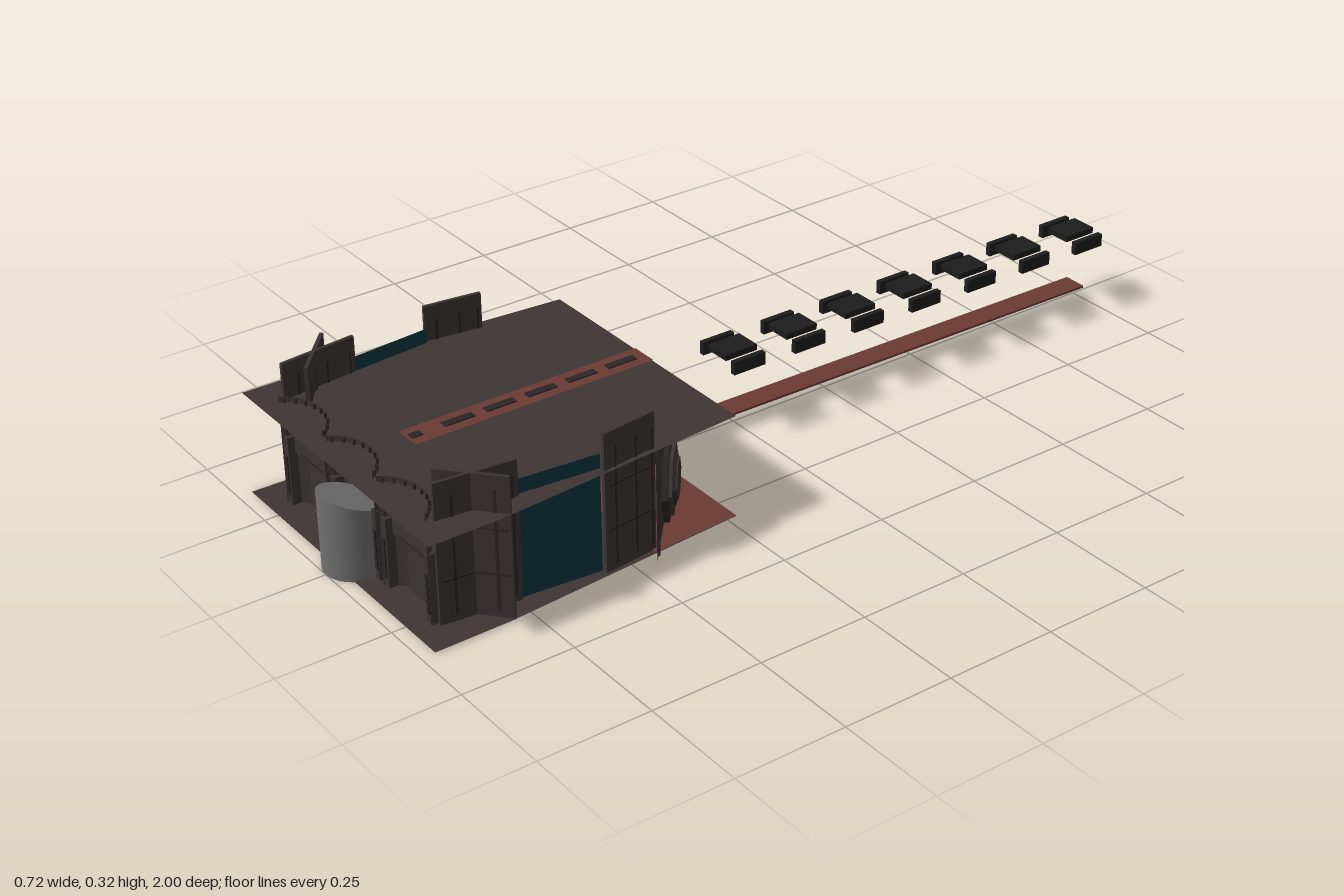
import * as THREE from 'three';

const mat = (name, color, side = THREE.FrontSide) => {
  const m = new THREE.MeshStandardMaterial({ color, side });
  m.name = name;
  return m;
};

export function createModel() {
  const model = new THREE.Group();
  const stone = mat('dark stone', 0x3d3635, THREE.DoubleSide);
  const wallStone = mat('wall stone', 0x3b3432);
  const trim = mat('dark trim', 0x2a2624);
  const red = mat('rust red', 0x6b3a33, THREE.DoubleSide);
  const teal = mat('deep teal', 0x0f3640, THREE.DoubleSide);
  const grey = mat('column grey', 0x707070);
  const black = mat('black', 0x1e1d1d);

  const add = (name, geo, material, parent = model, x = 0, y = 0, z = 0) => {
    const mesh = new THREE.Mesh(geo, material);
    mesh.name = name;
    mesh.position.set(x, y, z);
    parent.add(mesh);
    return mesh;
  };
  const box = (name, w, h, d, material, x, y, z, parent) =>
    add(name, new THREE.BoxGeometry(w, h, d), material, parent, x, y, z);

  // Flat sheet from x,z corners
  const sheet = (name, pts, y, material) => {
    const geo = new THREE.ShapeGeometry(new THREE.Shape(pts.map(([x, z]) => new THREE.Vector2(x, -z))));
    geo.rotateX(-Math.PI / 2);
    return add(name, geo, material, model, 0, y, 0);
  };
  // Upright group between two plan points; local +z is the outer face
  const upright = (name, [x1, z1], [x2, z2]) => {
    const g = new THREE.Group();
    g.name = name;
    g.position.set((x1 + x2) / 2, 0, (z1 + z2) / 2);
    g.rotation.y = Math.atan2(z1 - z2, x2 - x1);
    g.userData.width = Math.hypot(x2 - x1, z2 - z1);
    model.add(g);
    return g;
  };

  // Floor and roof
  const plan = [[-0.36, 0.97], [0.36, 0.97], [0.358, 0.8], [0.315, 0.23], [-0.315, 0.23], [-0.358, 0.8]];
  sheet('floor', plan, 0.003, stone);
  sheet('floorUnderside', [[-0.24, 0.84], [0.24, 0.84], [0.24, 0.23], [-0.24, 0.23]], 0, red);
  sheet('rearFloor', [[-0.33, 0.44], [0.33, 0.44], [0.315, 0.23], [-0.315, 0.23]], 0.005, red);
  sheet('threshold', [[-0.055, 0.23], [0.055, 0.23], [0.055, 0.185], [-0.055, 0.185]], 0.004, red);
  sheet('roof', plan, 0.237, stone);
  sheet('roofStripe', [[-0.032, 0.8], [0.032, 0.8], [0.032, 0.23], [-0.032, 0.23]], 0.24, red);
  for (let i = 0; i < 6; i++) box('roofDash', 0.018, 0.003, i < 5 ? 0.07 : 0.025, trim, 0, 0.241, 0.29 + i * 0.098);

  // Three recessed alcoves with ribbed walls
  const half = 0.089, recess = 0.05;
  const R = (half * half + recess * recess) / (2 * recess), a = Math.asin(half / R);
  for (const cx of [-0.192, 0, 0.192]) {
    const alcove = new THREE.Group();
    alcove.name = 'alcove';
    alcove.position.set(cx, 0, 0.88 + R);
    model.add(alcove);
    add('alcoveWall', new THREE.CylinderGeometry(R, R, 0.25, 24, 1, true, Math.PI - a, 2 * a), stone, alcove, 0, 0.125, 0);
    for (let i = -4; i <= 4; i++) {
      const t = Math.PI + i * a * 0.22;
      const rib = box('rib', 0.004, 0.085, 0.006, trim, Math.sin(t) * (R - 0.002), 0.205, Math.cos(t) * (R - 0.002), alcove);
      rib.rotation.y = t;
    }
    for (const s of [-1, 1]) {
      box('pilaster', 0.018, 0.16, 0.03, wallStone, s * 0.079, 0.08, -0.072, alcove);
      box('pilasterInset', 0.008, 0.09, 0.004, trim, s * 0.079, 0.07, -0.056, alcove);
    }
    if (cx) {
      box('lowerPanel', 0.08, 0.122, 0.012, wallStone, 0, 0.061, -R + 0.012, alcove);
      box('ledge', 0.14, 0.036, 0.02, wallStone, 0, 0.142, -R + 0.022, alcove);
      box('ledgeLine', 0.085, 0.004, 0.003, trim, 0, 0.131, -R + 0.033, alcove);
    }
  }

  // Front column, its top rising forward
  const colGeo = new THREE.CylinderGeometry(0.068, 0.068, 0.155, 32);
  const p = colGeo.attributes.position;
  for (let i = 0; i < p.count; i++) if (p.getY(i) > 0) p.setY(i, p.getY(i) + p.getZ(i) * 0.37);
  colGeo.computeVertexNormals();
  add('column', colGeo, grey, model, 0, 0.0775, 0.932);

  // Thin tower slab with raised trim on both faces
  const slab = (name, p1, p2, h) => {
    const g = upright(name, p1, p2), w = g.userData.width;
    box('slab', w, h, 0.008, wallStone, 0, h / 2, 0, g);
    for (const s of [-1, 1]) for (const f of [-0.42, -0.1, 0.3])
      box('seam', 0.006, h * 0.85, 0.003, trim, f * w, h * 0.48, s * 0.005, g);
    for (const y of [0.1, 0.2]) box('crossSeam', w * 0.9, 0.005, 0.013, trim, 0, y, 0, g);
  };
  for (const s of [-1, 1]) {
    slab('frontTowerSide', [s * 0.305, 0.74], [s * 0.287, 0.915], 0.318);
    slab('frontTowerDiagonal', [s * 0.24, 0.885], [s * 0.353, 0.785], 0.318);
    slab('rearTower', [s * 0.312, 0.43], [s * 0.328, 0.56], 0.318);
    const g = upright('tealPanel', [s * 0.318, 0.56], [s * 0.302, 0.74]);
    add('tealSheet', new THREE.PlaneGeometry(g.userData.width, 0.27), teal, g, 0, 0.135, 0);
  }

  // Layered hexagon with points to the sides
  const hexagon = (parent, rx, ry, y, z) => {
    const g = new THREE.Group();
    g.name = 'hexagonDoor';
    g.position.set(0, y, z);
    g.scale.set(rx, ry / 0.866, 1);
    parent.add(g);
    [[1, 0.012, trim], [0.84, 0.02, wallStone], [0.6, 0.024, trim], [0.5, 0.028, wallStone]].forEach(([r, d, m]) => {
      const geo = new THREE.CylinderGeometry(r, r, d, 6).toNonIndexed();
      geo.rotateX(Math.PI / 2).rotateZ(Math.PI / 2);
      geo.computeVertexNormals();
      add('hexagonLayer', geo, m, g, 0, 0, d / 2);
    });
  };

  // Rear walls: two angled panels and a red middle
  for (const [p1, p2] of [[[0.355, 0.455], [0.126, 0.255]], [[-0.126, 0.255], [-0.355, 0.455]]]) {
    const g = upright('rearAngledWall', p1, p2), w = g.userData.width;
    add('wallFace', new THREE.PlaneGeometry(w, 0.23), wallStone, g, 0, 0.115, 0);
    for (const f of [-0.44, 0.44]) box('wallSeam', 0.006, 0.21, 0.004, trim, f * w, 0.11, 0.002, g);
    const h = new THREE.Group();
    h.position.x = p1[0] > 0 ? 0.03 : -0.03;
    g.add(h);
    hexagon(h, 0.09, 0.078, 0.085, 0);
  }
  const back = upright('rearMiddleWall', [0.126, 0.257], [-0.126, 0.257]);
  add('wallFace', new THREE.PlaneGeometry(0.252, 0.23), red, back, 0, 0.115, 0).material =
    mat('rust red wall', 0x6b3a33);
  hexagon(back, 0.098, 0.065, 0.067, 0.006);

  // Long rail, drifting slightly sideways
  const drift = z => 0.015 * (0.1 - z) / 1.1;
  const rail = upright('rail', [drift(0.14), 0.14], [drift(-0.99), -0.99]);
  box('railTop', 1.13, 0.005, 0.056, red, 0, 0.037, 0, rail);
  box('railBase', 1.13, 0.005, 0.04, trim, 0, 0.032, 0, rail);

  // Black segments floating above the rail
  for (let i = 0; i < 7; i++) {
    const z = 0.003 - i * 0.1605;
    const g = new THREE.Group();
    g.name = 'segment';
    g.position.set(drift(z) * 1.3, 0, z);
    model.add(g);
    box('segmentTop', 0.062, 0.014, 0.082, black, 0, 0.183, 0, g);
    for (const s of [-1, 1]) box('segmentSide', 0.013, 0.03, 0.082, black, s * 0.055, 0.17, 0, g);
  }
  return model;
}
